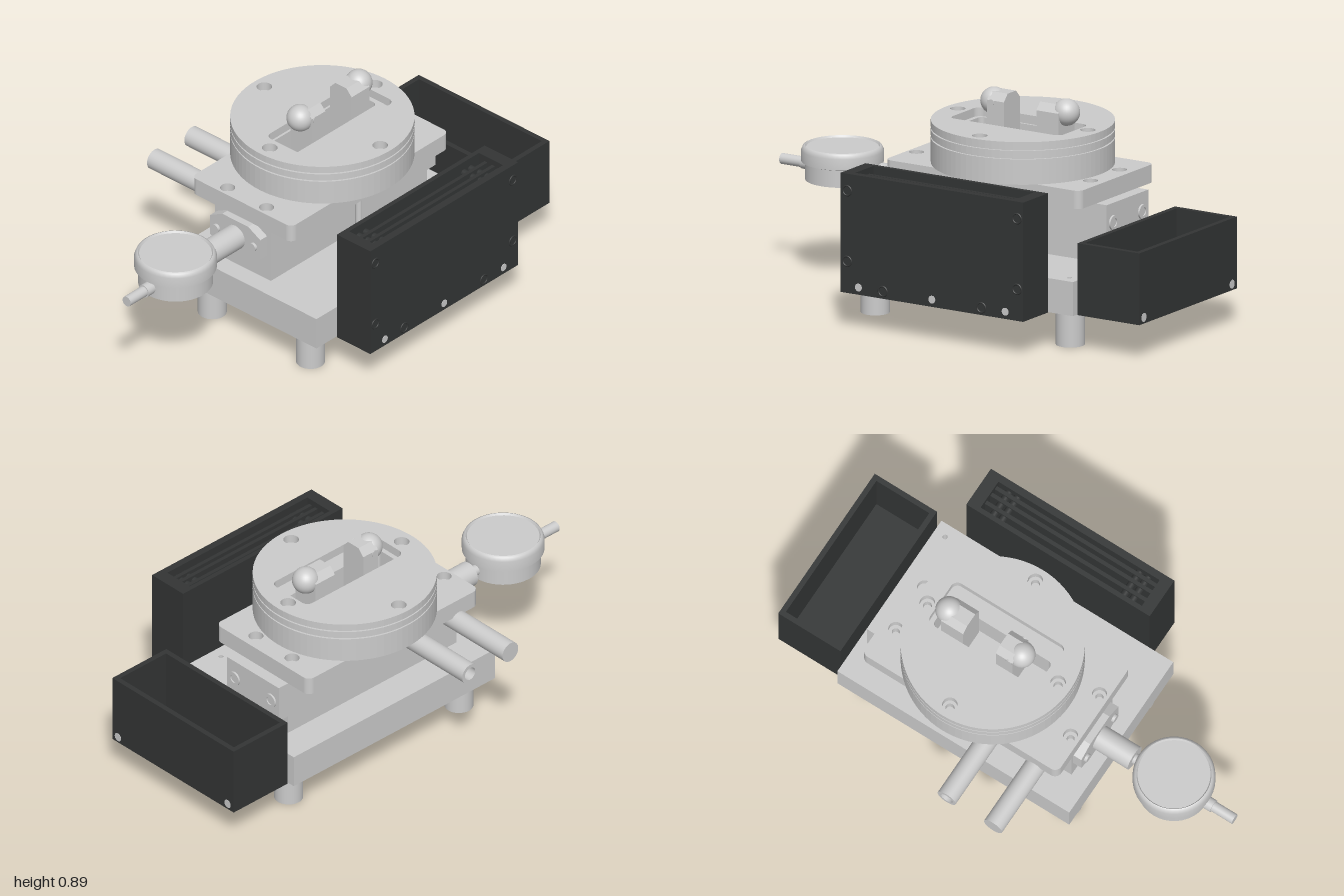
import * as THREE from 'three';

const grey = new THREE.MeshStandardMaterial({ color: 0xcccccc });
const black = new THREE.MeshStandardMaterial({ color: 0x333535 });

export function createModel() {
  const model = new THREE.Group();
  const add = (name, geo, mat = grey) => {
    const m = new THREE.Mesh(geo, mat);
    m.name = name;
    model.add(m);
    return m;
  };
  // Box given by its limits on each axis
  const box = (name, x0, x1, y0, y1, z0, z1, mat) =>
    add(name, new THREE.BoxGeometry(x1 - x0, y1 - y0, z1 - z0), mat)
      .position.set((x0 + x1) / 2, (y0 + y1) / 2, (z0 + z1) / 2);
  // Cylinder centred at a point, along a chosen axis
  const rod = (name, axis, r, len, x, y, z, mat) => {
    const g = new THREE.CylinderGeometry(r, r, len, 32);
    if (axis === 'x') g.rotateZ(Math.PI / 2);
    if (axis === 'z') g.rotateX(Math.PI / 2);
    add(name, g, mat).position.set(x, y, z);
  };
  // Tube with an open bore, along a chosen axis
  const tube = (name, axis, r, bore, len, x, y, z) => {
    const h = len / 2;
    const pts = [[bore, -h], [r, -h], [r, -h], [r, h], [r, h], [bore, h], [bore, h], [bore, -h]];
    const g = new THREE.BufferGeometry();
    const side = new THREE.LatheGeometry(pts.map(p => new THREE.Vector2(...p)), 32);
    g.copy(side);
    if (axis === 'z') g.rotateX(Math.PI / 2);
    add(name, g).position.set(x, y, z);
  };
  // Outlines on the ground plane (shape y = -z)
  const rect = (x0, x1, z0, z1, r = 0, C = THREE.Shape) => {
    const s = new C();
    if (!r) {
      s.moveTo(x0, -z1); s.lineTo(x1, -z1); s.lineTo(x1, -z0); s.lineTo(x0, -z0);
    } else {
      s.absarc(x1 - r, -z1 + r, r, -Math.PI / 2, 0);
      s.absarc(x1 - r, -z0 - r, r, 0, Math.PI / 2);
      s.absarc(x0 + r, -z0 - r, r, Math.PI / 2, Math.PI);
      s.absarc(x0 + r, -z1 + r, r, Math.PI, Math.PI * 1.5);
    }
    s.closePath();
    return s;
  };
  const disc = (x, z, r, C = THREE.Shape) => {
    const s = new C();
    s.absarc(x, -z, r, 0, Math.PI * 2);
    return s;
  };
  const plate = (name, shape, holes, y0, y1, mat) => {
    shape.holes.push(...holes);
    const g = new THREE.ExtrudeGeometry(shape, { depth: y1 - y0, bevelEnabled: false, curveSegments: 40 });
    g.rotateX(-Math.PI / 2);
    add(name, g, mat).position.y = y0;
  };
  const holesAt = (list, r) => list.map(([x, z]) => disc(x, z, r, THREE.Path));

  // Base plate: bolt holes below, small tapped holes above
  plate('basePlateLower', rect(-0.4, 0.7, -0.33, 0.43),
    holesAt([[-0.26, -0.07], [-0.26, 0.13], [0.44, -0.07], [0.44, 0.13]], 0.028), 0.15, 0.22);
  plate('basePlateUpper', rect(-0.4, 0.7, -0.33, 0.43),
    holesAt([[0.43, 0.28], [0.43, 0.38], [0.65, 0.28], [0.65, 0.38]], 0.01), 0.22, 0.29);
  for (const x of [-0.315, 0.615]) {
    for (const z of [-0.21, 0.32]) tube('leg', 'y', 0.058, 0.03, 0.15, x, 0.075, z);
  }

  // Slide block with end screws and the flange that holds the gauge
  box('lowerSlide', -0.32, 0.6, 0.29, 0.37, -0.19, 0.11);
  box('upperSlide', -0.32, 0.65, 0.37, 0.53, -0.19, 0.11);
  for (const z of [-0.145, 0.065]) {
    tube('slideScrewRing', 'z', 0.03, 0.018, 0.012, 0.652, 0.45, z);
    model.children.at(-1).rotation.y = Math.PI / 2;
    rod('slideScrew', 'x', 0.018, 0.006, 0.65, 0.45, z);
  }
  const flange = new THREE.Shape([[-0.135, -0.045], [-0.135, 0.045], [-0.07, 0.08], [0.07, 0.08],
    [0.135, 0.045], [0.135, -0.045], [0.07, -0.08], [-0.07, -0.08]].map(p => new THREE.Vector2(...p)));
  const flangeGeo = new THREE.ExtrudeGeometry(flange, { depth: 0.04, bevelEnabled: false });
  flangeGeo.rotateY(-Math.PI / 2);
  add('gaugeFlange', flangeGeo).position.set(-0.32, 0.45, -0.045);
  for (const z of [-0.145, 0.055]) rod('flangeScrew', 'x', 0.018, 0.02, -0.362, 0.45, z);
  rod('stopPin', 'y', 0.014, 0.24, 0.1, 0.41, 0.2);

  // Rear handles, one of them hollow
  rod('solidHandle', 'z', 0.043, 0.45, -0.22, 0.503, -0.385);
  tube('hollowHandle', 'z', 0.043, 0.028, 0.45, 0, 0.503, -0.385);

  // Top plate with counterbored holes
  const corners = [[-0.29, -0.15], [-0.29, 0.06], [0.54, -0.15], [0.54, 0.06]];
  plate('topPlateLower', rect(-0.33, 0.6, -0.31, 0.23, 0.03), holesAt(corners, 0.016), 0.53, 0.57);
  plate('topPlateUpper', rect(-0.33, 0.6, -0.31, 0.23, 0.03), holesAt(corners, 0.03), 0.57, 0.605);

  // Round table: stacked layers with thin grooves, a stepped slot and four bolt holes
  const cx = 0.15, cz = -0.042;
  const bolts = [[cx, -0.355], [cx, 0.27], [-0.16, cz], [0.46, cz]];
  const innerSlot = () => rect(-0.09, 0.4, -0.1, 0.025, 0.02, THREE.Path);
  const outerSlot = () => rect(-0.11, 0.42, -0.11, 0.1, 0.03, THREE.Path);
  for (const [y0, y1, r, slot, bolt] of [
    [0.605, 0.709, 0.367, innerSlot, 0],
    [0.709, 0.715, 0.358, innerSlot, 0.018],
    [0.715, 0.744, 0.367, innerSlot, 0.018],
    [0.744, 0.75, 0.358, outerSlot, 0.031],
    [0.75, 0.78, 0.367, outerSlot, 0.031],
  ]) {
    plate('roundTableLayer', disc(cx, cz, r), [slot(), ...(bolt ? holesAt(bolts, bolt) : [])], y0, y1);
  }

  // Ball-ended clamp posts facing outward
  for (const [x0, x1, top, ball] of [[0.02, 0.1, 0.885, 0.015], [0.255, 0.36, 0.875, 0.36]]) {
    const post = new THREE.Shape([[-0.058, 0.605], [0.058, 0.605], [0.058, top - 0.03],
      [0.03, top], [-0.03, top], [-0.058, top - 0.03]].map(p => new THREE.Vector2(...p)));
    const g = new THREE.ExtrudeGeometry(post, { depth: x1 - x0, bevelEnabled: false });
    g.rotateY(Math.PI / 2);
    add('clampPost', g).position.set(x0, 0, -0.038);
    add('clampBall', new THREE.SphereGeometry(0.055, 32, 20)).position.set(ball, 0.84, -0.038);
  }
  rod('clampPin', 'z', 0.014, 0.122, 0.04, 0.845, -0.038);

  // Dial gauge and its stem
  const dial = [[0, -0.07], [0.15, -0.07], [0.15, -0.07], [0.15, 0], [0.15, 0], [0.165, 0.005],
    [0.165, 0.005], [0.165, 0.05], [0.158, 0.066], [0.15, 0.07], [0.15, 0.07], [0.145, 0.062],
    [0.145, 0.062], [0, 0.062]].map(p => new THREE.Vector2(...p));
  add('dialGauge', new THREE.LatheGeometry(dial, 48)).position.set(-0.712, 0.483, -0.045);
  rod('gaugeStem', 'x', 0.022, 0.09, -0.545, 0.452, -0.045);
  rod('gaugeSleeve', 'x', 0.052, 0.18, -0.435, 0.452, -0.045);
  rod('gaugeTail', 'x', 0.027, 0.06, -0.87, 0.455, -0.045);
  rod('gaugeTip', 'x', 0.022, 0.12, -0.94, 0.455, -0.045);

  // Front housing: open top with lengthwise ribs
  box('housingFloor', -0.285, 0.585, 0.15, 0.18, 0.435, 0.615, black);
  plate('housingWalls', rect(-0.285, 0.585, 0.435, 0.615),
    [rect(-0.235, 0.53, 0.455, 0.585, 0, THREE.Path)], 0.18, 0.64, black);
  for (const z of [0.485, 0.525, 0.558]) {
    box('housingRib', -0.235, 0.53, 0.18, 0.615, z, z + 0.016, black);
  }
  for (const x of [-0.16, 0.46]) {
    for (const dx of [-0.02, 0.02]) rod('housingBolt', 'z', 0.016, 0.13, x + dx, 0.59, 0.52, black);
  }
  for (const [x, y] of [[-0.255, 0.57], [0.555, 0.57], [-0.255, 0.28], [0.555, 0.28], [-0.085, 0.18], [0.385, 0.18]]) {
    add('housingScrewRing', new THREE.TorusGeometry(0.02, 0.004, 8, 24), black).position.set(x, y, 0.614);
  }
  for (const x of [-0.2, 0.15, 0.5]) rod('housingScrew', 'z', 0.016, 0.006, x, 0.18, 0.614);

  // Side tray, open on top
  box('trayFloor', 0.705, 1, 0.15, 0.175, -0.3, 0.405, black);
  plate('trayWalls', rect(0.705, 1, -0.3, 0.405),
    [rect(0.727, 0.978, -0.278, 0.383, 0, THREE.Path)], 0.175, 0.445, black);
  for (const z of [-0.265, 0.372]) rod('trayScrew', 'x', 0.018, 0.006, 0.998, 0.175, z);

  return model;
}
